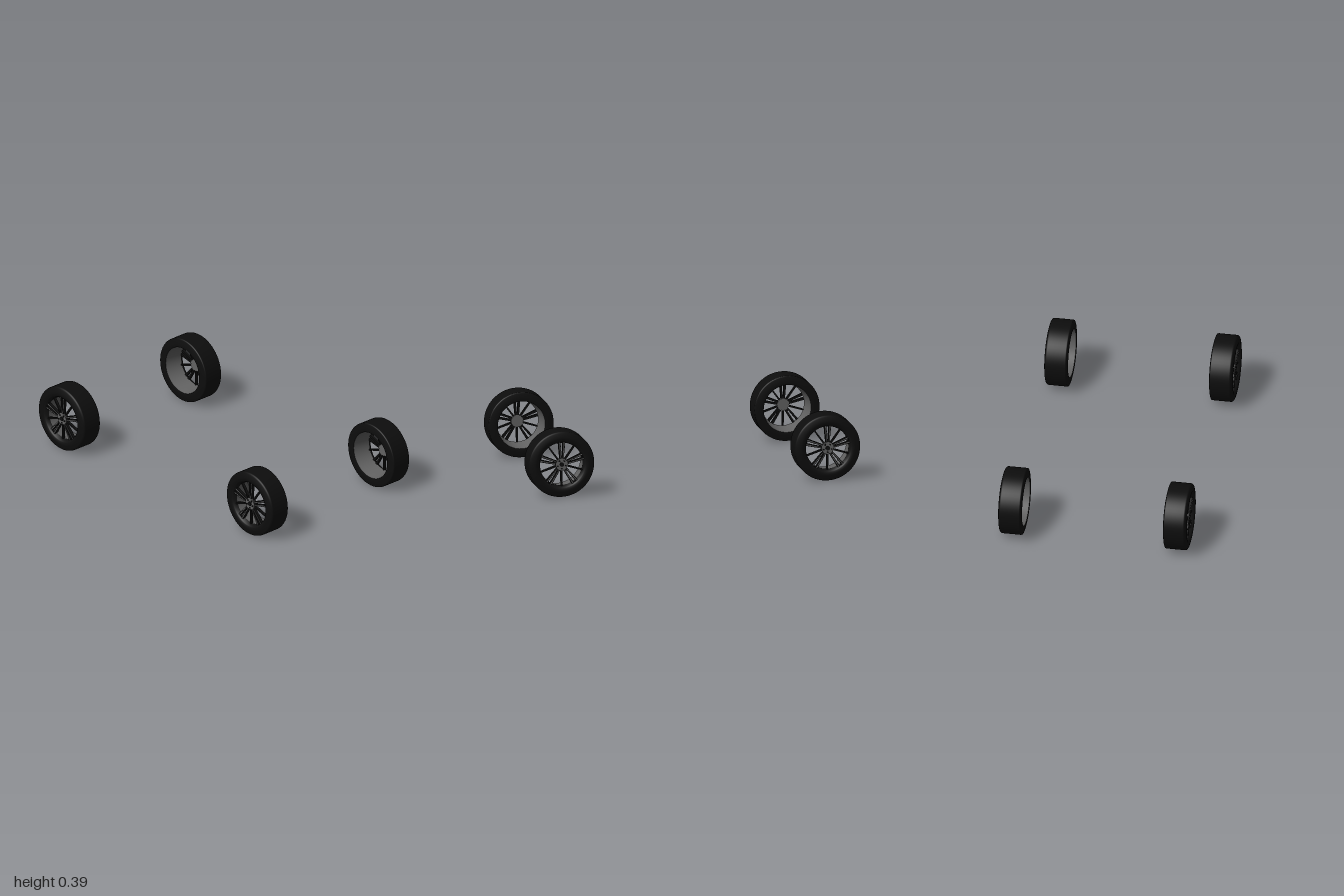
import * as THREE from 'three';

const material = (name, color, side = THREE.FrontSide) => {
  const m = new THREE.MeshStandardMaterial({ color, side });
  m.name = name;
  return m;
};

export function createModel() {
  const rubber = material('tyre black', 0x0d0d0d);
  const darkMetal = material('dark rim metal', 0x101010, THREE.DoubleSide);
  const greyMetal = material('grey rim metal', 0x626262, THREE.DoubleSide);
  const V = (r, x) => new THREE.Vector2(r, x);

  const add = (parent, name, geometry, mat) => {
    const mesh = new THREE.Mesh(geometry, mat);
    mesh.name = name;
    parent.add(mesh);
    return mesh;
  };
  // Turned parts: profile of (radius, distance along the axle), axle on x
  const turned = (points) => new THREE.LatheGeometry(points, 64).rotateZ(-Math.PI / 2);
  const disc = (r, depth, x, sides) =>
    new THREE.CylinderGeometry(r, r, depth, sides).rotateZ(-Math.PI / 2).translate(x, 0, 0);
  // Flat radial outline (across, radius) given thickness along the axle
  const plate = (shape, x, depth) =>
    new THREE.ExtrudeGeometry(shape, { depth, bevelEnabled: false, curveSegments: 4 })
      .rotateY(Math.PI / 2).translate(x, 0, 0);
  const outline = (pts) => new THREE.Shape(pts.map(([a, r]) => V(a, r)));

  const tyre = turned([
    V(0.143, 0.002), V(0.15, 0), V(0.165, 0), V(0.19, 0.005), V(0.1955, 0.007), V(0.197, 0.012),
    V(0.197, 0.07), V(0.197, 0.122), V(0.195, 0.129), V(0.188, 0.134),
    V(0.165, 0.139), V(0.155, 0.14), V(0.145, 0.136)]);
  const lip = turned([V(0.145, 0.136), V(0.14, 0.134), V(0.132, 0.122), V(0.128, 0.112)]);
  const barrel = turned([V(0.128, 0.112), V(0.13, 0.09), V(0.137, 0.04), V(0.143, 0.002)]);

  // Split spoke: a tapered frame with a long slot
  const frame = outline([[-0.011, 0.025], [0.011, 0.025], [0.022, 0.143], [-0.022, 0.143]]);
  frame.holes.push(outline([[-0.003, 0.05], [-0.007, 0.13], [0.007, 0.13], [0.003, 0.05]]));
  const splitSpoke = plate(frame, 0.108, 0.018);
  const inlays = [-1, 1].map((s) => plate(outline([
    [s * 0.006, 0.04], [s * 0.009, 0.04], [s * 0.0165, 0.138], [s * 0.0115, 0.138]]), 0.1255, 0.002));
  const thinSpoke = plate(outline([
    [-0.005, 0.025], [0.005, 0.025], [0.004, 0.135], [-0.004, 0.135]]), 0.106, 0.016);

  const makeWheel = () => {
    const wheel = new THREE.Group();
    add(wheel, 'tyre', tyre, rubber);
    add(wheel, 'rimLip', lip, darkMetal);
    add(wheel, 'rimBarrel', barrel, greyMetal);
    add(wheel, 'hub', disc(0.036, 0.024, 0.116, 32), greyMetal);
    add(wheel, 'hubCap', disc(0.013, 0.006, 0.13, 24), darkMetal);
    for (let i = 0; i < 5; i++) {
      const angle = (i * Math.PI * 2) / 5;
      const spoke = new THREE.Group();
      spoke.name = 'splitSpoke';
      spoke.rotation.x = angle;
      add(spoke, 'spokeFrame', splitSpoke, darkMetal);
      inlays.forEach((g) => add(spoke, 'spokeInlay', g, greyMetal));
      wheel.add(spoke);
      // Thin spokes and wheel nuts sit between the split spokes
      add(wheel, 'thinSpoke', thinSpoke, darkMetal).rotation.x = angle + Math.PI / 5;
      const nut = add(wheel, 'wheelNut', disc(0.005, 0.005, 0.13, 6), darkMetal);
      nut.position.set(0, 0.025 * Math.cos(angle + Math.PI / 5), 0.025 * Math.sin(angle + Math.PI / 5));
    }
    return wheel;
  };

  const model = new THREE.Group();
  model.name = 'wheelSet';
  for (const side of [1, -1]) {
    for (const end of [1, -1]) {
      const wheel = makeWheel();
      wheel.name = (end > 0 ? 'front' : 'rear') + (side > 0 ? 'LeftWheel' : 'RightWheel');
      wheel.position.set(side * 0.42, 0.197, end * 0.803);
      if (side < 0) wheel.rotation.y = Math.PI;
      model.add(wheel);
    }
  }
  return model;
}
